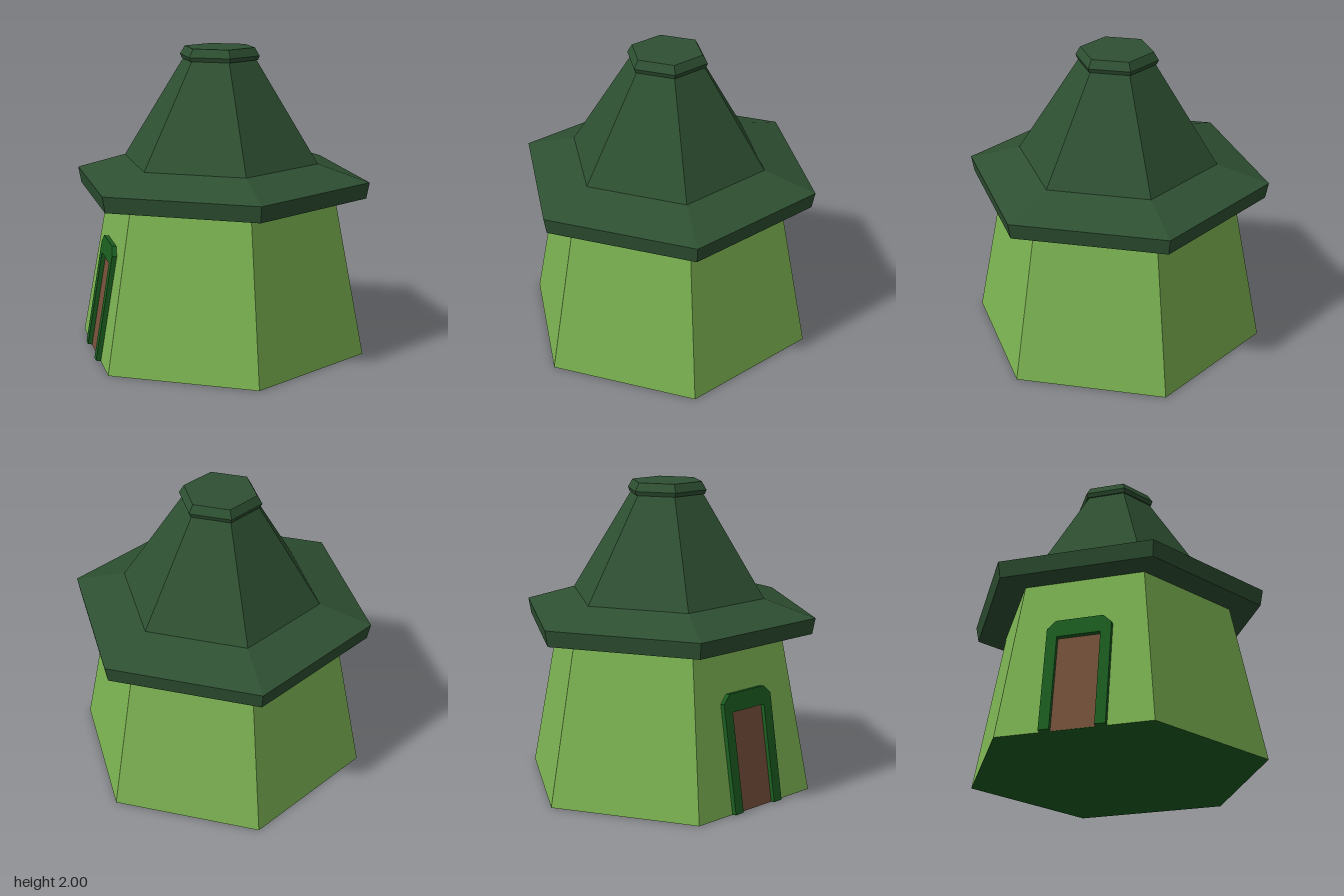
import * as THREE from 'three';

const mat = (color) => new THREE.MeshStandardMaterial({ color, flatShading: true });

// Six-sided solid from a [radius, height] profile, corners on +z and -z
function hexPart(name, profile, material) {
  const points = profile.map(([r, y]) => new THREE.Vector2(r, y));
  const mesh = new THREE.Mesh(new THREE.LatheGeometry(points, 6), material);
  mesh.name = name;
  return mesh;
}

export function createModel() {
  const model = new THREE.Group();
  model.name = 'hut';
  const wallGreen = mat(0x7cb352);
  const roofGreen = mat(0x2e5032);
  const trimGreen = mat(0x1b5e20);
  const doorBrown = mat(0x75503a);

  const building = new THREE.Group();
  building.name = 'building';
  building.position.x = 0.004;
  model.add(building);

  // Tapered walls and dark floor
  building.add(hexPart('walls', [[0.98, 0], [0.775, 1.05]], wallGreen));
  building.add(hexPart('floor', [[0, 0], [0.98, 0]], trimGreen));

  // Roof: flat eaves, shallow skirt, steep upper slope
  building.add(hexPart('roof',
    [[0, 1.05], [0.98, 1.05], [1, 1.155], [0.66, 1.26], [0.247, 1.92]], roofGreen));
  building.add(hexPart('roofCap',
    [[0, 1.92], [0.257, 1.92], [0.268, 1.947], [0.236, 2], [0, 2]], roofGreen));

  // Doorway leaning with the wall on the -x side
  const apothem = 0.98 * Math.cos(Math.PI / 6);
  const topApothem = 0.775 * Math.cos(Math.PI / 6);
  const lean = Math.atan((apothem - topApothem) / 1.05);
  const doorway = new THREE.Group();
  doorway.name = 'doorway';
  doorway.position.x = -apothem;
  doorway.rotation.set(-lean, -Math.PI / 2, 0, 'YXZ');
  building.add(doorway);

  // Frame with clipped top corners, open at the bottom
  const outer = 0.205, inner = 0.138, top = 0.757, head = 0.64, clip = 0.055;
  const outline = [
    [-outer, 0], [-inner, 0], [-inner, head], [inner, head], [inner, 0], [outer, 0],
    [outer, top - clip], [outer - clip, top], [-outer + clip, top], [-outer, top - clip],
  ].map(([x, y]) => new THREE.Vector2(x, y));
  const frame = new THREE.Mesh(
    new THREE.ExtrudeGeometry(new THREE.Shape(outline), { depth: 0.031, bevelEnabled: false }),
    trimGreen);
  frame.name = 'doorFrame';
  doorway.add(frame);

  // Door panel just proud of the wall
  const door = new THREE.Mesh(new THREE.PlaneGeometry(inner * 2, head), doorBrown);
  door.name = 'door';
  door.position.set(0, head / 2, 0.003);
  doorway.add(door);

  return model;
}
